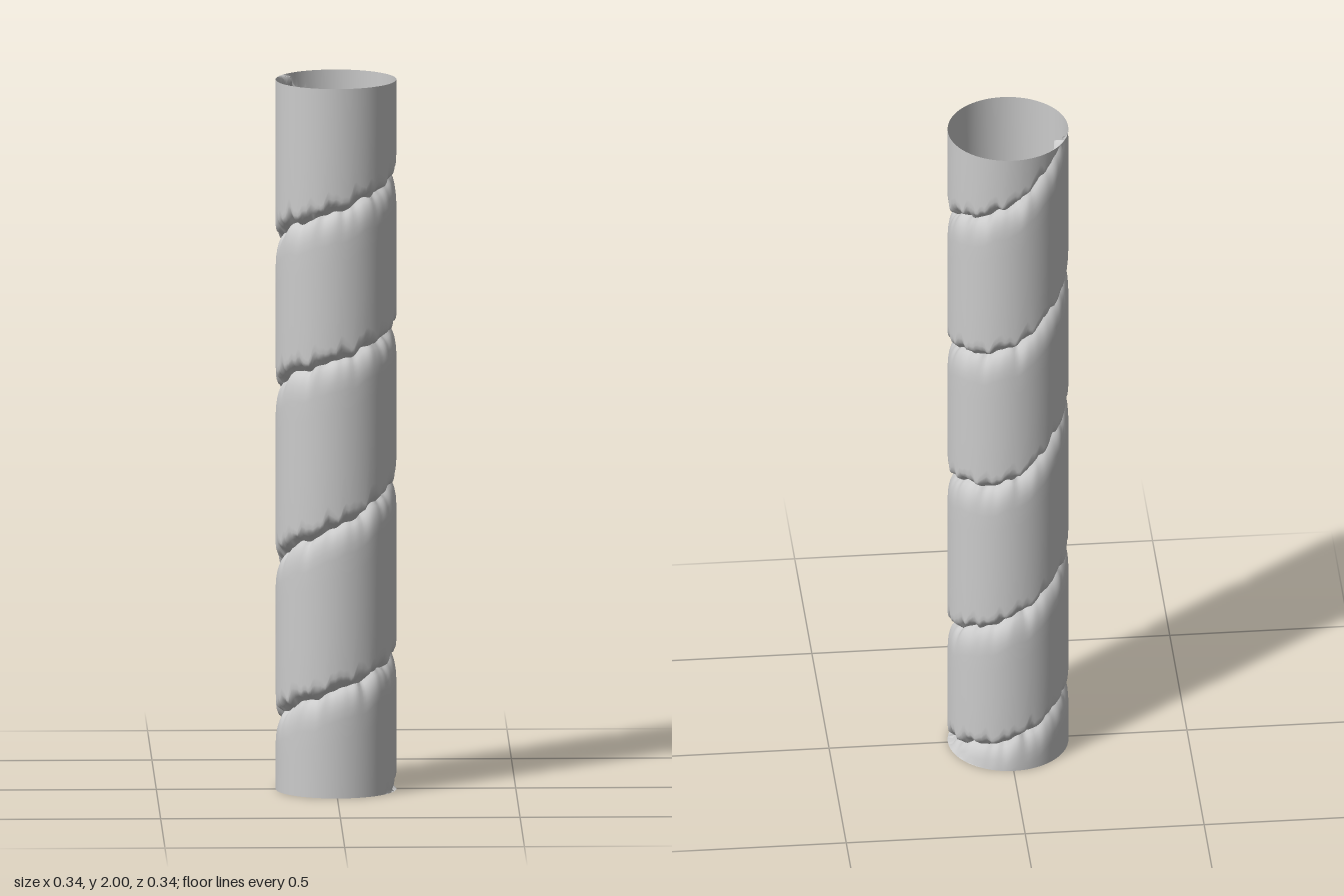
import * as THREE from 'three';

const R = 0.168, H = 2, PER_TURN = 144;

// Height of the spiral groove at every quarter turn (turn 0 faces +z, rising towards +x)
const FIRST = -2, STEP = 0.25;
const heights = [
  -0.52, -0.42, -0.32, -0.21, -0.12, 0.02, 0.09, 0.21,
  0.30, 0.39, 0.49, 0.65, 0.76, 0.88, 0.94, 1.14,
  1.23, 1.31, 1.375, 1.56, 1.65, 1.74, 1.84, 2.06,
  2.2, 2.3, 2.4, 2.5,
];
const groove = new THREE.SplineCurve(heights.map((h, i) => new THREE.Vector2(i, h)));

// Small irregular waves that make the groove look torn
const wave = (t, k) => Math.sin(t * 51 * k + 1.3) * 0.5 + Math.sin(t * 83 * k + 4) * 0.3 + Math.sin(t * 137 * k) * 0.2;
const grooveY = (t) => groove.getPoint((t - FIRST) / STEP / (heights.length - 1)).y + 0.008 * wave(t, 1);
const grooveDepth = (t) => 0.028 + 0.009 * wave(t, 1.37);

// Band section: [edge (0 lower, 1 upper), distance from that edge, share of the groove depth]
const section = [
  [0, 0, 1], [0, 0.006, 0.75], [0, 0.014, 0.45], [0, 0.022, 0.15], [0, 0.034, 0.03], [0, 0.05, 0],
  [0, 0.14, 0], [1, 0.14, 0],
  [1, 0.085, 0], [1, 0.06, 0.05], [1, 0.04, 0.17], [1, 0.024, 0.36], [1, 0.011, 0.62], [1, 0, 1],
];

// One long band wound round the tube, cut level at the two ends
function woundBand() {
  const from = -1.95, to = 3.72;
  const steps = Math.round((to - from) * PER_TURN), n = section.length;
  const pos = [], index = [];
  for (let i = 0; i <= steps; i++) {
    const t = from + (to - from) * i / steps;
    const a = t * Math.PI * 2;
    section.forEach(([edge, d, share]) => {
      const tt = t + edge;
      const ragged = edge ? 1 : 1 + 0.5 * wave(t, 1.9);
      const raw = grooveY(tt) + (edge ? -d : d * ragged);
      const y = THREE.MathUtils.clamp(raw, 0, H);
      const r = raw === y ? R - share * grooveDepth(tt) : R;
      pos.push(r * Math.sin(a), y, r * Math.cos(a));
    });
    if (i === steps) break;
    for (let j = 0; j < n - 1; j++) {
      const p = i * n + j, q = p + n;
      index.push(p, q, q + 1, p, q + 1, p + 1);
    }
  }
  const g = new THREE.BufferGeometry();
  g.setAttribute('position', new THREE.Float32BufferAttribute(pos, 3));
  // Leave out the triangles flattened by the level cuts
  const y = (k) => pos[k * 3 + 1];
  const kept = [];
  for (let k = 0; k < index.length; k += 3) {
    const ys = index.slice(k, k + 3).map(y);
    if (Math.max(...ys) > 0 && Math.min(...ys) < H) kept.push(...index.slice(k, k + 3));
  }
  g.setIndex(kept);
  g.computeVertexNormals();
  return g;
}

export function createModel() {
  const group = new THREE.Group();
  group.name = 'spiralTube';
  const material = new THREE.MeshStandardMaterial({ color: 0xcccccc, side: THREE.DoubleSide });
  const band = new THREE.Mesh(woundBand(), material);
  band.name = 'woundBand';
  group.add(band);
  return group;
}
